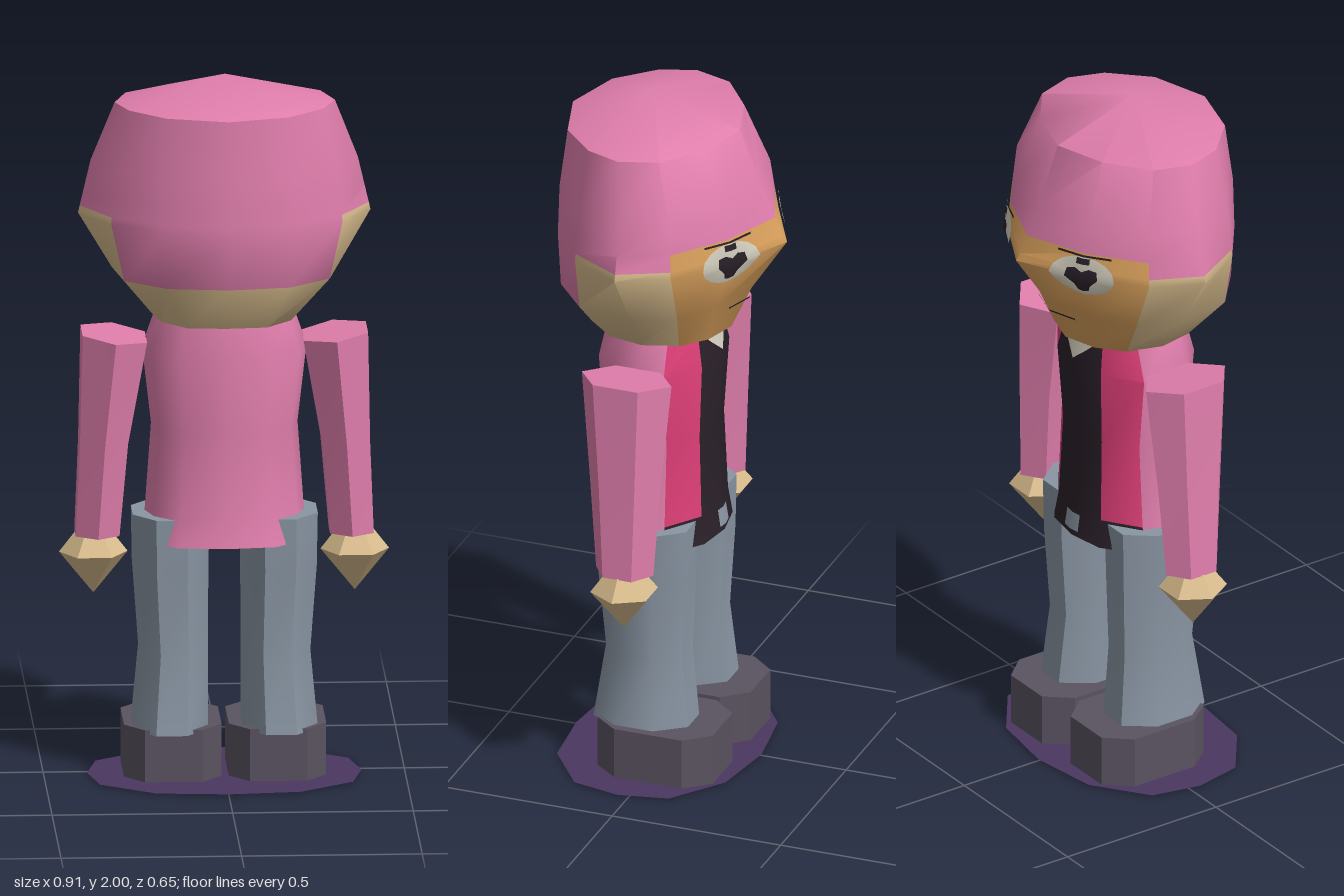
import * as THREE from 'three';
import { toCreasedNormals } from 'three/addons/utils/BufferGeometryUtils.js';

const mat = (name, color) => Object.assign(new THREE.MeshStandardMaterial({ color }), { name });

// Full twelve-point ring from half a profile running from +z through +x to -z
const ring = (y, half) => {
  const right = half.map(([x, z]) => [x, y, z]);
  const left = half.slice(1, -1).reverse().map(([x, z]) => [-x, y, z]);
  return [...right, ...left];
};

// Regular-sided oval ring, with optional tilt of its plane
const oval = (n, cx, y, cz, hx, hz, turn = 0, tilt = 0) =>
  Array.from({ length: n }, (_, k) => {
    const a = ((k + turn) / n) * Math.PI * 2;
    const dx = hx * Math.sin(a);
    return [cx + dx, y + tilt * dx, cz + hz * Math.cos(a)];
  });

const mix = (p, q, t) => p.map((v, k) => v + (q[k] - v) * t);
const mixRing = (a, b, t) => a.map((p, i) => mix(p, b[i], t));
const centre = (r) => [0, 1, 2].map((k) => r.reduce((s, p) => s + p[k], 0) / r.length);

// Skin over stacked rings, closed at both ends; pick(band, segment) gives a material index
function loft(name, rings, materials, pick = () => 0, crease = 0.8, apex = null) {
  const n = rings[0].length, pos = rings.flat(2), lists = materials.map(() => []);
  const last = (rings.length - 1) * n, base = rings.length * n;
  pos.push(...centre(rings[0]), ...(apex || centre(rings[rings.length - 1])));
  for (let i = 0; i < n; i++) {
    const k = (i + 1) % n;
    for (let j = 0; j < rings.length - 1; j++) {
      const a = j * n + i, b = j * n + k;
      lists[pick(j, i)].push(a, b, b + n, a, b + n, a + n);
    }
    lists[pick(-1, i)].push(base, k, i);
    lists[pick(rings.length - 1, i)].push(base + 1, last + i, last + k);
  }
  const geo = new THREE.BufferGeometry();
  geo.setAttribute('position', new THREE.Float32BufferAttribute(pos, 3));
  geo.setIndex(lists.flat());
  let start = 0;
  lists.forEach((l, m) => {
    geo.addGroup(start, l.length, m);
    start += l.length;
  });
  const mesh = new THREE.Mesh(toCreasedNormals(geo, crease), materials.length > 1 ? materials : materials[0]);
  mesh.name = name;
  return mesh;
}

// Point on a lofted skin at fractional segment s and height y, lifted outwards
function onSkin(rings, s, y, lift) {
  let j = 0;
  while (j < rings.length - 2 && y > rings[j + 1][0][1]) j++;
  const n = rings[0].length, i = Math.floor(s);
  const at = (r) => mix(r[i % n], r[(i + 1) % n], s - i);
  const y0 = rings[j][0][1], y1 = rings[j + 1][0][1];
  const p = mix(at(rings[j]), at(rings[j + 1]), (y - y0) / (y1 - y0));
  const d = Math.hypot(p[0], p[2] - 0.03);
  return [p[0] + (lift * p[0]) / d, p[1], p[2] + (lift * (p[2] - 0.03)) / d];
}

// Thin painted patch: a fan around (s, y) with outline offsets, anticlockwise
function patch(name, rings, s, y, outline, material, lift = 0.008) {
  const pts = [[0, 0], ...outline].map(([ds, dy]) => onSkin(rings, s + ds, y + dy, lift));
  const index = outline.flatMap((_, k) => [0, k + 1, ((k + 1) % outline.length) + 1]);
  const geo = new THREE.BufferGeometry();
  geo.setAttribute('position', new THREE.Float32BufferAttribute(pts.flat(), 3));
  geo.setIndex(index);
  const mesh = new THREE.Mesh(toCreasedNormals(geo, 0.8), material);
  mesh.name = name;
  return mesh;
}

export function createModel() {
  const pink = mat('pink cloth', 0xe07eac), magenta = mat('magenta cloth', 0xdf3f78);
  const black = mat('black', 0x2a2029), white = mat('off white', 0xd6d1c0);
  const tan = mat('face tan', 0xd9a05c), skin = mat('pale skin', 0xd8bc8d);
  const grey = mat('grey trousers', 0x8a96a4), shoe = mat('dark shoe', 0x5a5361);
  const purple = mat('purple base', 0x4b3760);
  purple.side = THREE.DoubleSide;
  const model = new THREE.Group();
  model.name = 'figure';

  // Head: hood, pale cheeks and nape, tan face pointing to -z
  const chin = ring(1.31, [[0, 0.22], [0.11, 0.21], [0.18, 0.13], [0.2, 0.03], [0.17, -0.07], [0.1, -0.13], [0, -0.16]]);
  const jaw = ring(1.44, [[0, 0.305], [0.17, 0.28], [0.285, 0.18], [0.31, 0.02], [0.26, -0.1], [0.15, -0.17], [0, -0.22]]);
  const cheek = ring(1.6, [[0, 0.325], [0.18, 0.285], [0.32, 0.18], [0.405, 0.03], [0.335, -0.11], [0.18, -0.23], [0, -0.325]]);
  const temple = ring(1.75, [[0, 0.32], [0.18, 0.28], [0.31, 0.17], [0.37, 0.03], [0.32, -0.1], [0.18, -0.205], [0, -0.25]]);
  const crown = ring(1.92, [[0, 0.31], [0.17, 0.26], [0.27, 0.16], [0.305, 0.06], [0.27, -0.05], [0.15, -0.14], [0, -0.185]]);
  const head = [chin, jaw, cheek, mixRing(cheek, temple, 0.02 / 0.15), mixRing(cheek, temple, 0.07 / 0.15), temple, crown];
  const headColour = (band, seg) => {
    const s = Math.min(seg, 11 - seg);
    if (s >= 4) return band <= 3 ? 2 : 0;
    if (s >= 2) return band <= 2 ? 1 : 0;
    return band <= 0 ? 1 : 0;
  };
  model.add(loft('head', head, [pink, skin, tan], headColour, 0.9, [0, 2, 0.07]));

  // Eyes, pupils and brows wrap the face edges on both sides
  const round = (rs, ry) => Array.from({ length: 16 }, (_, k) =>
    [rs * Math.cos((k * Math.PI) / 8), ry * Math.sin((k * Math.PI) / 8)]);
  const heart = [[0.24, 0], [0.22, 0.025], [0.1, 0.03], [0, 0.02], [-0.1, 0.03], [-0.22, 0.025],
    [-0.24, 0], [-0.12, -0.025], [-0.08, -0.045], [0, -0.048], [0.08, -0.045], [0.12, -0.025]];
  const line = (w, h) => [[w, -h], [w, h], [0, h], [-w, h], [-w, -h], [0, -h]];
  for (const s of [5, 7]) {
    model.add(patch('eye', head, s, 1.6, round(0.48, 0.063), white));
    model.add(patch('pupil', head, s, 1.6, heart, black, 0.012));
    model.add(patch('pupilTop', head, s, 1.652, line(0.1, 0.009), black, 0.012));
    model.add(patch('brow', head, s, 1.667, line(0.42, 0.003), black, 0.01));
  }
  model.add(patch('mouth', head, 6, 1.41, line(0.6, 0.003), black));

  // Jacket: pink back and sides, magenta fronts, black shirt strip and belt
  const torsoRing = (y, w, back, front) => ring(y, [[0, back], [w * 0.58, back * 0.92], [w * 0.9, back * 0.55],
    [w, 0.03], [w * 0.92, -0.04], [w * 0.46, front * 0.87], [0, front]]);
  const torso = [torsoRing(0.68, 0.235, 0.21, -0.14), torsoRing(0.76, 0.22, 0.195, -0.127),
    torsoRing(1.0, 0.203, 0.185, -0.117), torsoRing(1.22, 0.228, 0.198, -0.13), torsoRing(1.315, 0.195, 0.18, -0.11)];
  model.add(loft('jacket', torso, [pink, magenta, black], (band, seg) => {
    const s = Math.min(seg, 11 - seg);
    if (band < 0 || s < 4) return 0;
    return s === 5 || band === 0 ? 2 : 1;
  }));
  model.add(patch('collar', torso, 6, 1.29, [[0, -0.055], [0.4, -0.02], [0.9, 0.022], [0, 0.022], [-0.9, 0.022], [-0.4, -0.02]], white));
  model.add(patch('buckle', torso, 6, 0.725, line(0.28, 0.025), grey));

  for (const side of [1, -1]) {
    // Sleeve with sloping shoulder
    model.add(loft('arm', [
      oval(6, 0.352 * side, 0.685, 0.02, 0.07, 0.085),
      oval(6, 0.335 * side, 0.95, 0.025, 0.077, 0.105),
      oval(6, 0.306 * side, 1.254, 0.032, 0.103, 0.133, 0, 0.12 * side),
    ], [pink]));

    // Pointed hand
    const hand = new THREE.LatheGeometry([[0, 0.515], [0.095, 0.632], [0.05, 0.69], [0, 0.69]]
      .map((p) => new THREE.Vector2(...p)), 6, Math.PI / 2);
    const handMesh = new THREE.Mesh(toCreasedNormals(hand, 0.8), skin);
    handMesh.name = 'hand';
    handMesh.position.set(0.362 * side, 0, 0.018);
    model.add(handMesh);

    // Trouser leg, flared at the hem
    model.add(loft('leg', [
      oval(8, 0.152 * side, 0.14, 0.033, 0.113, 0.152, 0.5),
      oval(8, 0.142 * side, 0.36, 0.028, 0.102, 0.123, 0.5),
      oval(8, 0.15 * side, 0.6, 0.032, 0.112, 0.14, 0.5),
      oval(8, 0.15 * side, 0.752, 0.033, 0.115, 0.144, 0.5),
    ], [grey]));

    // Shoe with cut corners
    const outline = [[0.135, 0.08], [0.135, -0.12], [0.075, -0.19], [-0.075, -0.19],
      [-0.135, -0.12], [-0.135, 0.08], [-0.08, 0.15], [0.08, 0.15]];
    const shoeRing = (y) => outline.map(([x, z]) => [x + 0.145 * side, y, z]);
    model.add(loft('shoe', [shoeRing(0), shoeRing(0.152)], [shoe], () => 0, 0.3));
  }

  // Flat ground disc under the feet
  const disc = ring(0, [[0, 0.3], [0.2, 0.28], [0.35, 0.17], [0.38, 0.03], [0.35, -0.11], [0.2, -0.22], [0, -0.25]]);
  const shape = new THREE.Shape(disc.map(([x, , z]) => new THREE.Vector2(x, -z)));
  const base = new THREE.Mesh(new THREE.ShapeGeometry(shape).rotateX(-Math.PI / 2), purple);
  base.name = 'base';
  base.position.y = 0.004;
  model.add(base);
  return model;
}
